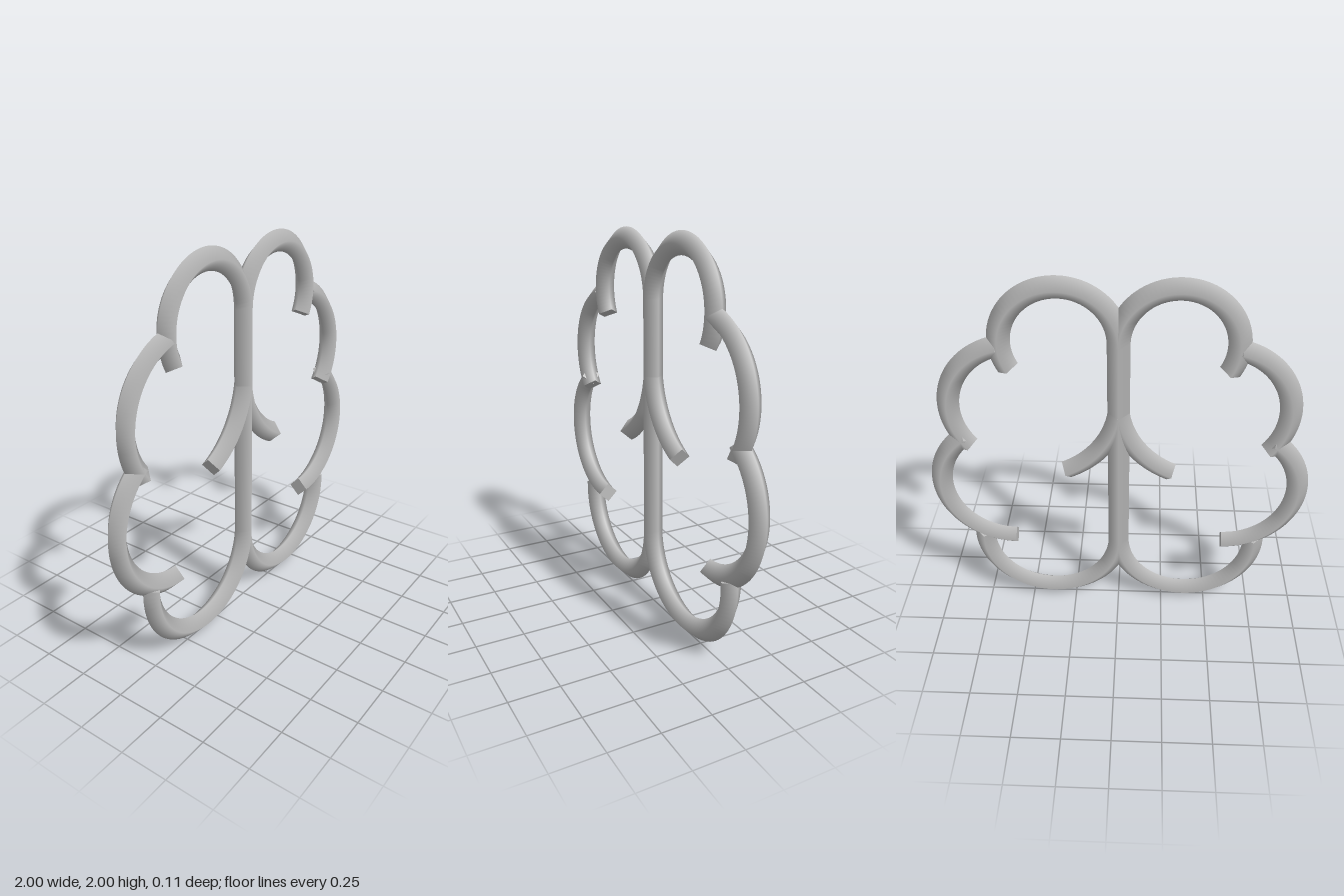
import * as THREE from 'three';
import { mergeGeometries } from 'three/addons/utils/BufferGeometryUtils.js';

const RADIUS = 0.056;
const deg = THREE.MathUtils.degToRad;

// Circular arc lying in the z = 0 plane
class PlanarArc extends THREE.Curve {
  constructor(cx, cy, r, from, to) {
    super();
    Object.assign(this, { cx, cy, r, from, to });
  }
  getPoint(t, target = new THREE.Vector3()) {
    const a = this.from + (this.to - this.from) * t;
    return target.set(this.cx + this.r * Math.cos(a), this.cy + this.r * Math.sin(a), 0);
  }
}

// Flat diamond lid on one end of a tube
function endCap(curve, t) {
  const dir = curve.getTangent(t).multiplyScalar(t === 0 ? -1 : 1);
  const depth = new THREE.Vector3(0, 0, 1);
  const side = new THREE.Vector3().crossVectors(depth, dir);
  const matrix = new THREE.Matrix4().makeBasis(side, depth, dir).setPosition(curve.getPoint(t));
  return new THREE.CircleGeometry(RADIUS, 4).applyMatrix4(matrix);
}

// Smooth-shaded tube with a diamond section and closed ends
function diamondTube(curve, segments) {
  return mergeGeometries([
    new THREE.TubeGeometry(curve, segments, RADIUS, 4, false),
    endCap(curve, 0),
    endCap(curve, 1),
  ]);
}

export function createModel() {
  const model = new THREE.Group();
  const grey = new THREE.MeshStandardMaterial({ color: 0xbfbfbf });
  grey.name = 'grey';

  const add = (name, curve, segments) => {
    const mesh = new THREE.Mesh(diamondTube(curve, segments), grey);
    mesh.name = name;
    model.add(mesh);
  };

  // Central stem
  add('centralStem', new THREE.LineCurve3(
    new THREE.Vector3(0, 0.43, 0), new THREE.Vector3(0, 1.66, 0)), 1);

  // Arcs of the left half: name, centre x, centre y, radius, start and end angle
  const arcs = [
    ['TopLobe', 0.283, 1.66, 0.283, 180, -29],
    ['UpperLobe', 0.49, 1.29, 0.36, 76, -39],
    ['LowerLobe', 0.57, 0.813, 0.374, 55, -90],
    ['BottomLobe', 0.375, 0.431, 0.375, 5, -180],
    ['InnerBranch', 0.468, 1.344, 0.474, 189, 246],
  ];
  for (const [name, x, y, r, from, to] of arcs) {
    add('left' + name, new PlanarArc(x, y, r, deg(from), deg(to)), 48);
    add('right' + name, new PlanarArc(-x, y, r, deg(180 - from), deg(180 - to)), 48);
  }
  return model;
}
